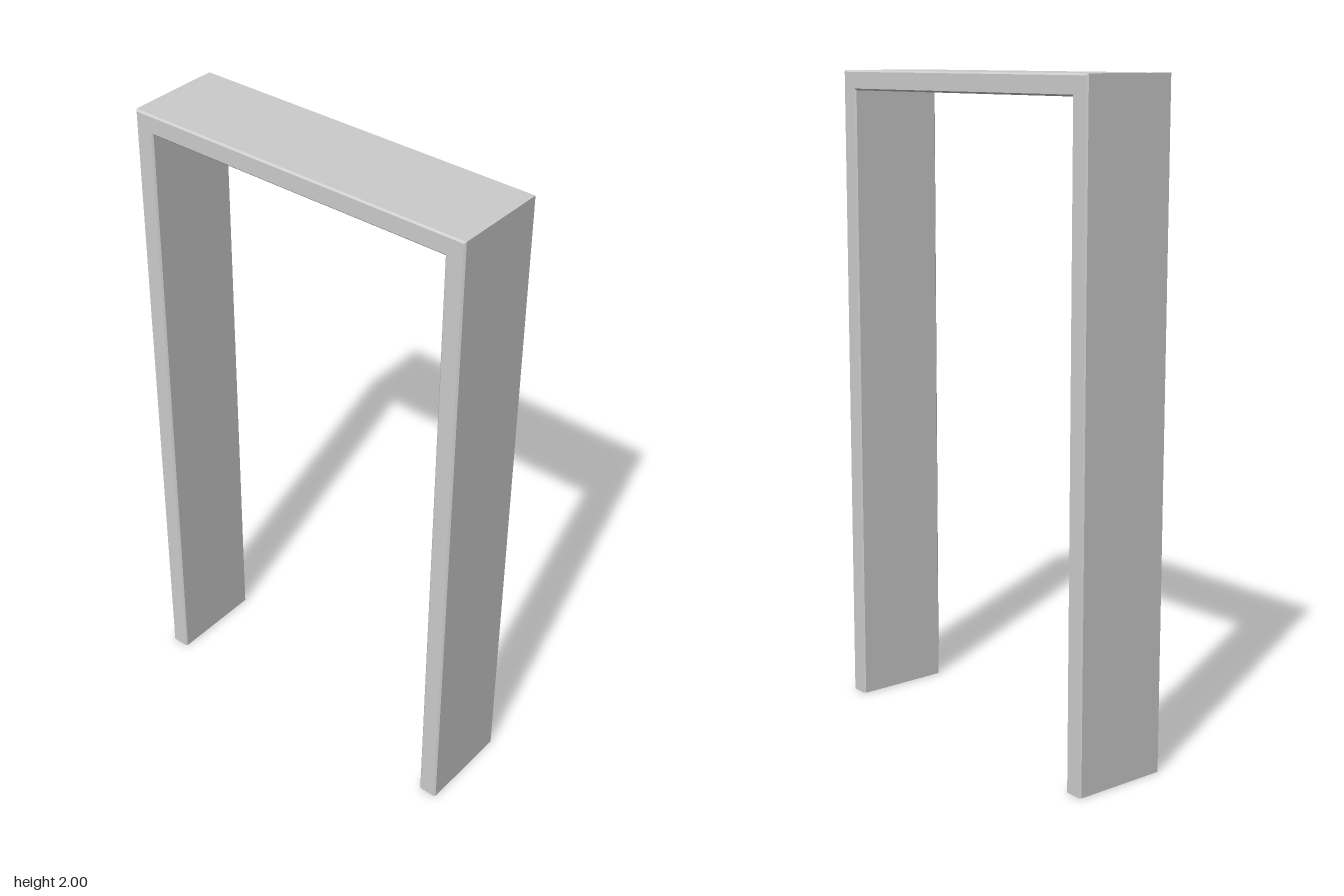
import * as THREE from 'three';

const HALF_OPENING = 0.5, OPENING_HEIGHT = 1.94, WIDTH = 0.06, DEPTH = 0.153, BEVEL = 0.005;

// Bevelled box section: [distance outward from the opening, z]
const section = [
  [BEVEL, DEPTH], [WIDTH - BEVEL, DEPTH],
  [WIDTH, DEPTH - BEVEL], [WIDTH, -DEPTH + BEVEL],
  [WIDTH - BEVEL, -DEPTH], [BEVEL, -DEPTH],
  [0, -DEPTH + BEVEL], [0, DEPTH - BEVEL],
];

// Path stations: right foot, right mitre, left mitre, left foot
const stations = [[-1, 0], [-1, 1], [1, 1], [1, 0]];

function pointAt(k, [o, z]) {
  const [side, top] = stations[k];
  return [side * (HALF_OPENING + o), top * (OPENING_HEIGHT + o), z];
}

// Hollow run of the section between two neighbouring stations
function frameRun(k) {
  const positions = [];
  section.forEach((s, j) => {
    const next = section[(j + 1) % section.length];
    const a = pointAt(k, s), b = pointAt(k, next);
    const c = pointAt(k + 1, next), d = pointAt(k + 1, s);
    positions.push(...a, ...c, ...b, ...a, ...d, ...c);
  });
  const geometry = new THREE.BufferGeometry();
  geometry.setAttribute('position', new THREE.Float32BufferAttribute(positions, 3));
  geometry.computeVertexNormals();
  return geometry;
}

export function createModel() {
  const group = new THREE.Group();
  group.name = 'doorFrame';
  // Open at the feet, so the inside of the shell is visible
  const material = new THREE.MeshStandardMaterial({
    color: 0xcccccc, flatShading: true, side: THREE.DoubleSide,
  });
  ['rightJamb', 'headJamb', 'leftJamb'].forEach((name, k) => {
    const mesh = new THREE.Mesh(frameRun(k), material);
    mesh.name = name;
    group.add(mesh);
  });
  return group;
}
